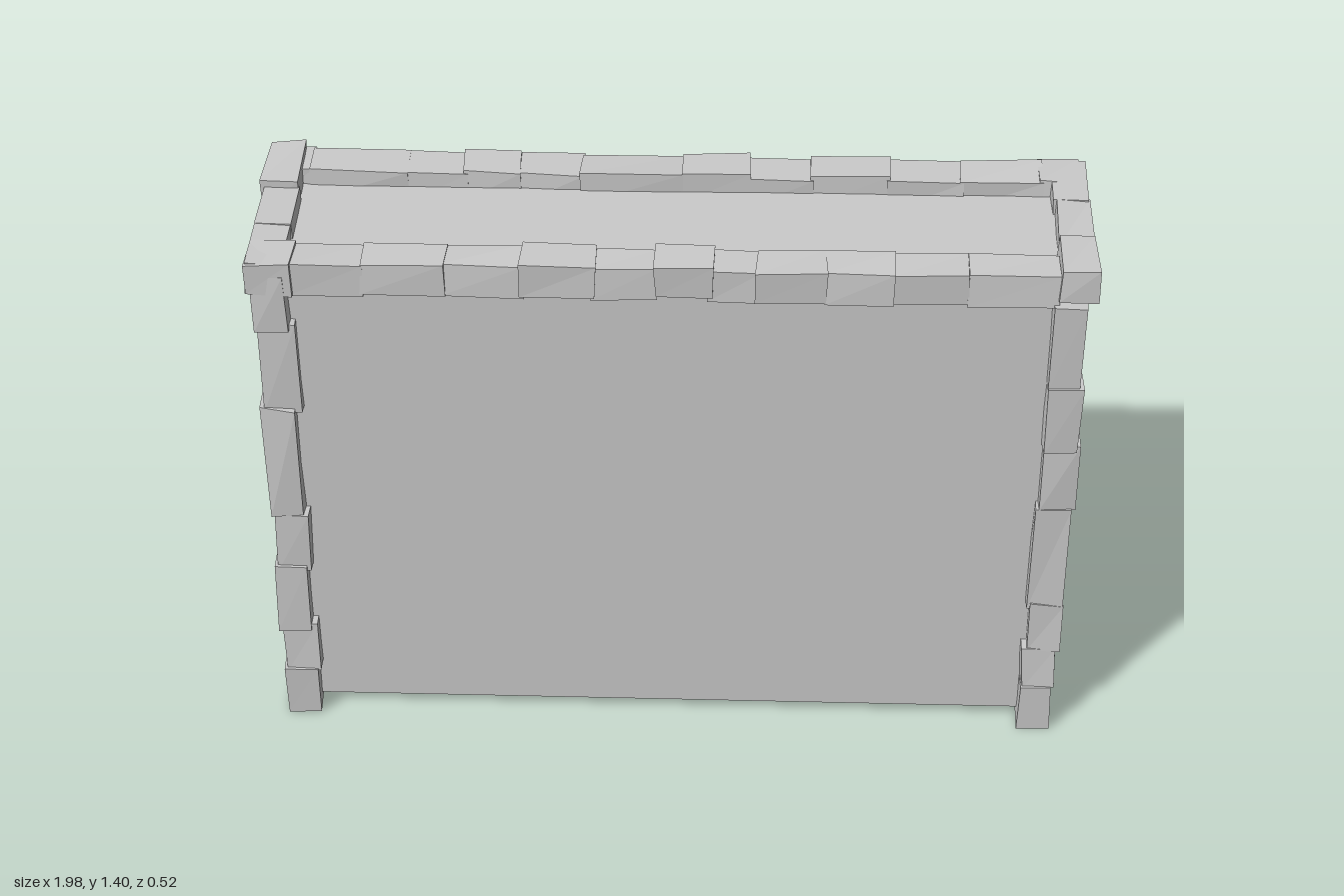
import * as THREE from 'three';

const material = new THREE.MeshStandardMaterial({ color: 0xcccccc, flatShading: true });

// Small seeded generator for the rough-hewn corners
let seed = 7;
const jitter = (amount) => {
  seed = (seed * 16807) % 2147483647;
  return (seed / 2147483647 - 0.5) * 2 * amount;
};

// A block between two corners, each of its eight corners nudged a little
function stone(min, max, rough = 0.005) {
  const size = max.map((v, i) => v - min[i]);
  const geometry = new THREE.BoxGeometry(...size);
  const nudges = Array.from({ length: 8 }, () => [jitter(rough), jitter(rough), jitter(rough)]);
  const p = geometry.attributes.position;
  for (let i = 0; i < p.count; i++) {
    const c = [p.getX(i), p.getY(i), p.getZ(i)];
    const n = nudges[(c[0] > 0 ? 1 : 0) + (c[1] > 0 ? 2 : 0) + (c[2] > 0 ? 4 : 0)];
    p.setXYZ(i, ...c.map((v, k) => v + n[k] + (min[k] + max[k]) / 2));
  }
  // Rest the lowest stones flat on the ground
  for (let i = 0; i < p.count; i++) if (p.getY(i) < 0.02) p.setY(i, 0);
  geometry.computeVertexNormals();
  return geometry;
}

function addStone(group, name, min, max, rough) {
  const mesh = new THREE.Mesh(stone(min, max, rough), material);
  mesh.name = name;
  group.add(mesh);
}

// Corner post: stones as [bottom, top, outward shift in x, outward shift in z]
function post(name, sx, sz, stones) {
  const group = new THREE.Group();
  group.name = name;
  for (const [y0, y1, dx, dz] of stones) {
    const x = [sx * (0.885 + dx), sx * (0.968 + dx)].sort((a, b) => a - b);
    const z = [sz * (0.15 + dz), sz * (0.248 + dz)].sort((a, b) => a - b);
    addStone(group, 'postStone', [x[0], y0, z[0]], [x[1], y1, z[1]]);
  }
  return group;
}

// Long top edging: stones as [start, end, lift, outward shift]
function longEdge(name, sz, stones) {
  const group = new THREE.Group();
  group.name = name;
  for (const [x0, x1, lift, out] of stones) {
    const z = [sz * (0.152 + out * 0.3), sz * (0.245 + out)].sort((a, b) => a - b);
    addStone(group, 'edgeStone', [x0, 1.295 + lift, z[0]], [x1, 1.38 + lift, z[1]], 0.004);
  }
  return group;
}

// Short top edging: stones as [start, end, lift, outward shift]
function shortEdge(name, sx, stones) {
  const group = new THREE.Group();
  group.name = name;
  for (const [z0, z1, lift, out] of stones) {
    const x = [sx * (0.895 + out), sx * (0.98 + out)].sort((a, b) => a - b);
    addStone(group, 'edgeStone', [x[0], 1.297 + lift, z0], [x[1], 1.38 + lift, z1], 0.004);
  }
  return group;
}

export function createModel() {
  seed = 7;
  const model = new THREE.Group();
  model.name = 'stoneEdgedWall';

  // Plain wall core, set back behind the stones and below the top edging
  const core = new THREE.Mesh(new THREE.BoxGeometry(1.86, 1.31, 0.42), material);
  core.name = 'wallCore';
  core.position.y = 0.685;
  model.add(core);

  // Four corner posts
  model.add(
    post('frontRightPost', -1, 1, [
      [0, 0.15, 0.01, 0.008], [0.14, 0.29, 0, 0], [0.27, 0.48, 0.012, 0.004], [0.46, 0.645, -0.002, 0],
      [0.64, 0.965, 0.006, 0.004], [0.95, 1.2, -0.008, -0.004], [1.19, 1.345, 0.005, 0.006],
    ]),
    post('frontLeftPost', 1, 1, [
      [0, 0.14, -0.002, 0.01], [0.135, 0.26, 0, 0.002], [0.25, 0.4, 0.01, -0.002], [0.39, 0.7, 0, -0.004],
      [0.7, 0.89, 0.008, -0.006], [0.88, 1.07, 0.002, 0.003], [1.06, 1.3, -0.002, 0.004],
    ]),
    post('backLeftPost', 1, -1, [
      [0, 0.14, 0, 0.008], [0.13, 0.28, 0.006, -0.004], [0.27, 0.475, 0, 0.002], [0.47, 0.77, 0.005, 0],
      [0.765, 0.97, 0, 0.004], [0.96, 1.1, 0.006, 0], [1.09, 1.31, 0, -0.004],
    ]),
    post('backRightPost', -1, -1, [
      [0, 0.15, 0, 0.006], [0.145, 0.38, 0.008, 0], [0.37, 0.56, 0, 0.004], [0.55, 0.79, 0.004, -0.003],
      [0.78, 0.96, 0, 0.003], [0.95, 1.2, 0.007, 0.006], [1.19, 1.31, 0, 0.01],
    ]),
  );

  // Edging around the top
  model.add(
    longEdge('frontEdge', 1, [
      [-0.98, -0.87, 0.003, 0.01], [-0.88, -0.71, -0.002, 0], [-0.715, -0.52, 0, -0.003], [-0.53, -0.34, -0.002, -0.008],
      [-0.345, -0.17, 0.006, 0], [-0.18, -0.03, 0, -0.004], [-0.035, 0.1, 0.01, 0.002], [0.09, 0.21, -0.004, -0.002],
      [0.2, 0.36, 0.003, 0.007], [0.355, 0.52, 0.002, 0.002], [0.51, 0.69, -0.003, -0.002], [0.685, 0.9, -0.001, -0.004],
    ]),
    longEdge('backEdge', -1, [
      [-0.98, -0.87, 0, 0.015], [-0.88, -0.64, 0.002, 0.006], [-0.645, -0.5, 0, 0], [-0.51, -0.37, 0.004, 0.004],
      [-0.375, -0.22, -0.002, 0.012], [-0.225, 0.02, 0.006, -0.004], [0.015, 0.18, 0.012, 0],
      [0.17, 0.33, -0.002, 0.006], [0.325, 0.515, 0.008, 0.005], [0.51, 0.69, -0.003, 0.002],
      [0.685, 0.88, 0.001, 0.006], [0.87, 0.97, 0.002, 0.015],
    ]),
    shortEdge('leftEdge', 1, [[-0.255, -0.08, 0, 0.004], [-0.09, 0.11, 0, 0.008], [0.095, 0.25, 0.018, 0.003]]),
    shortEdge('rightEdge', -1, [[-0.255, -0.08, 0.02, 0.002], [-0.09, 0.08, 0, -0.006], [0.07, 0.25, 0, 0]]),
  );

  return model;
}
